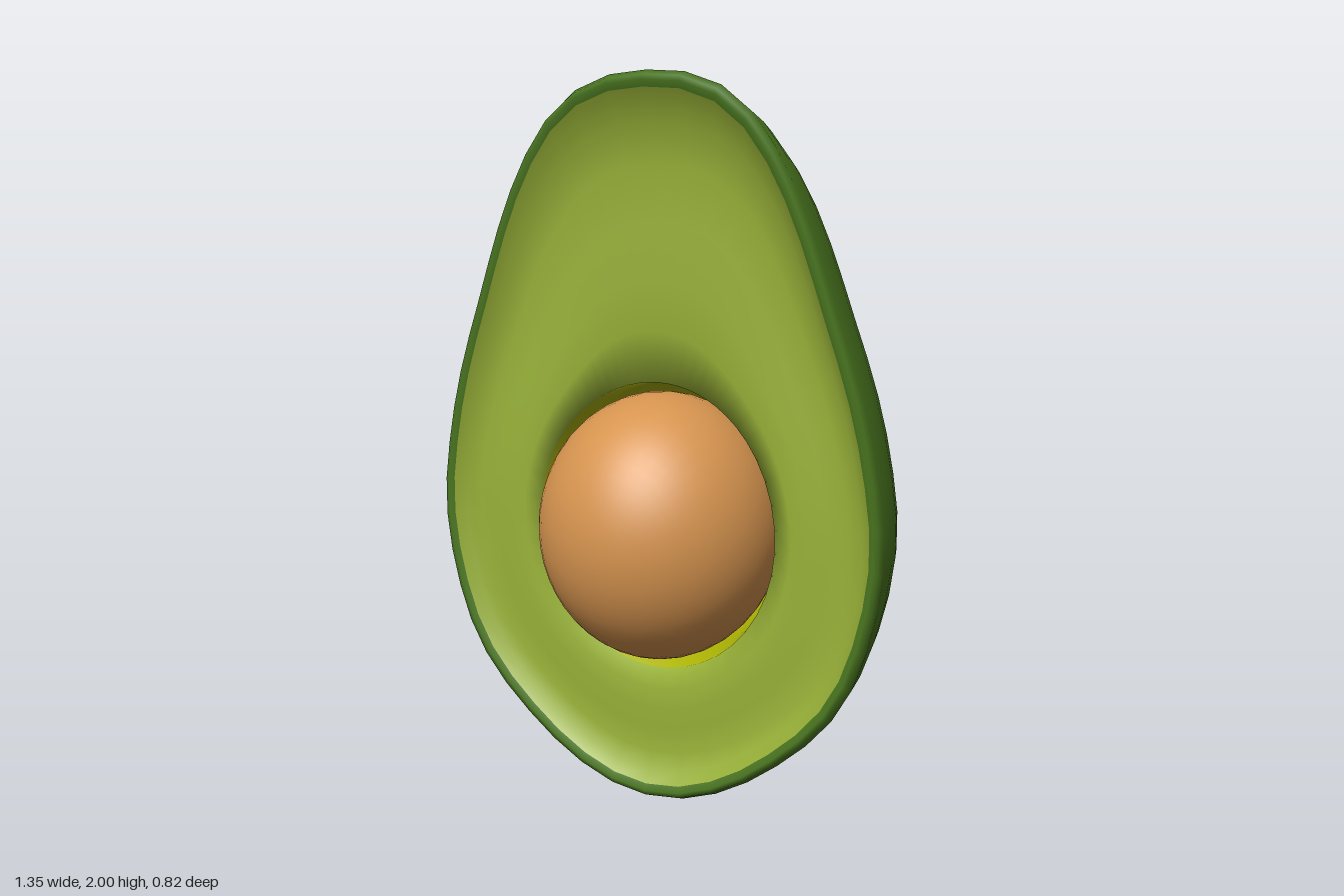
import * as THREE from 'three';

const N = 48; // points around every ring
const SOCKET = { y: 0.785, rx: 0.365, ry: 0.4 };

// Pear-shaped outline: right half from bottom to top, mirrored to the left
function makeOutline() {
  const half = [[0.13, 0.025], [0.27, 0.09], [0.41, 0.195], [0.515, 0.3], [0.587, 0.41], [0.65, 0.6], [0.675, 0.8],
    [0.652, 1.0], [0.604, 1.2], [0.535, 1.4], [0.463, 1.6], [0.41, 1.72], [0.345, 1.83], [0.255, 1.93], [0.14, 1.985]];
  const pts = [[0, 0.005], ...half, [0, 2], ...half.slice().reverse().map(([x, y]) => [-x, y])];
  const curve = new THREE.CatmullRomCurve3(pts.map(([x, y]) => new THREE.Vector3(x, y, 0)), true);
  return curve.getSpacedPoints(N).slice(0, N).map((p) => new THREE.Vector2(p.x, p.y));
}

// Skin through closed rings of N points, smooth all the way round
function loft(rings) {
  const position = rings.flat().flatMap((p) => [p.x, p.y, p.z]);
  const index = [];
  for (let r = 0; r < rings.length - 1; r++) {
    for (let i = 0; i < N; i++) {
      const j = (i + 1) % N;
      const a = r * N + i, b = r * N + j, c = (r + 1) * N + j, d = (r + 1) * N + i;
      index.push(a, b, c, a, c, d);
    }
  }
  const g = new THREE.BufferGeometry();
  g.setAttribute('position', new THREE.Float32BufferAttribute(position, 3));
  g.setIndex(index);
  g.computeVertexNormals();
  return g;
}

function addPart(group, name, geometry, material) {
  const mesh = new THREE.Mesh(geometry, material);
  mesh.name = name;
  group.add(mesh);
  return mesh;
}

function material(name, color) {
  const m = new THREE.MeshStandardMaterial({ color });
  m.name = name;
  return m;
}

export function createModel() {
  const group = new THREE.Group();
  group.name = 'halvedFruit';
  const skinGreen = material('skinGreen', 0x49751f);
  const fleshGreen = material('fleshGreen', 0x98b138);
  const socketYellow = material('socketYellow', 0xaeb404);
  const seedBrown = material('seedBrown', 0xd6944f);

  const outline = makeOutline();
  const scaled = (sx, sy, z) => outline.map((p) => new THREE.Vector3(p.x * sx, 1 + (p.y - 1) * sy, z));

  // Skin: domed back, a little flatter towards the two ends, then a rounded rim at the cut face
  const skinRings = [];
  for (let k = 0; k <= 16; k++) {
    const s = Math.sin((k / 16) * Math.PI / 2);
    const f = Math.pow(Math.max(0, 1 - Math.pow(s, 2.2)), 1 / 2.2);
    const taper = 0.03 * Math.sin(Math.PI * Math.min(1, f / 0.6));
    skinRings.push(scaled(s, s - taper, 0.14 - 0.55 * f));
  }
  skinRings.push(scaled(0.988, 0.988, 0.163), scaled(0.97, 0.975, 0.165), scaled(0.95, 0.957, 0.158));
  addPart(group, 'skin', loft(skinRings), skinGreen);

  // Flesh: shallow dish with a gentle swell before it turns into the socket
  const angles = outline.map((p) => Math.atan2(p.y - SOCKET.y, p.x));
  const socketRing = (s, z) => angles.map((a) => new THREE.Vector3(
    Math.cos(a) * SOCKET.rx * s, SOCKET.y + Math.sin(a) * SOCKET.ry * s, z));
  const edge = scaled(0.95, 0.957, 0);
  const inner = socketRing(1, 0);
  const dish = [[0, 0], [0.1, 0.055], [0.25, 0.08], [0.45, 0.078], [0.65, 0.068], [0.82, 0.075], [1, 0.1]];
  const fleshRings = dish.map(([t, d]) => edge.map((p, i) => {
    const up = Math.max(0, Math.sin(angles[i]));
    const q = p.clone().lerp(inner[i], t);
    q.z = 0.158 - d * (0.45 + 0.35 * up * up);
    return q;
  }));

  // Socket: bowl behind the seed, sharing its edge with the flesh
  const bowl = [[0.97, -0.02], [0.9, -0.13], [0.7, -0.24], [0.4, -0.31], [0, -0.33]];
  const cutFace = loft([...fleshRings, ...bowl.map(([s, z]) => socketRing(s, z))]);
  const fleshCount = (dish.length - 1) * N * 6;
  cutFace.addGroup(0, fleshCount, 0);
  cutFace.addGroup(fleshCount, bowl.length * N * 6, 1);
  addPart(group, 'fleshAndSocket', cutFace, [fleshGreen, socketYellow]);

  // Seed: slightly tall ball with its pole facing forward
  const seedGeometry = new THREE.SphereGeometry(1, 40, 28).rotateX(Math.PI / 2).scale(0.338, 0.374, 0.35);
  addPart(group, 'seed', seedGeometry, seedBrown).position.set(0, 0.783, 0.06);

  return group;
}
